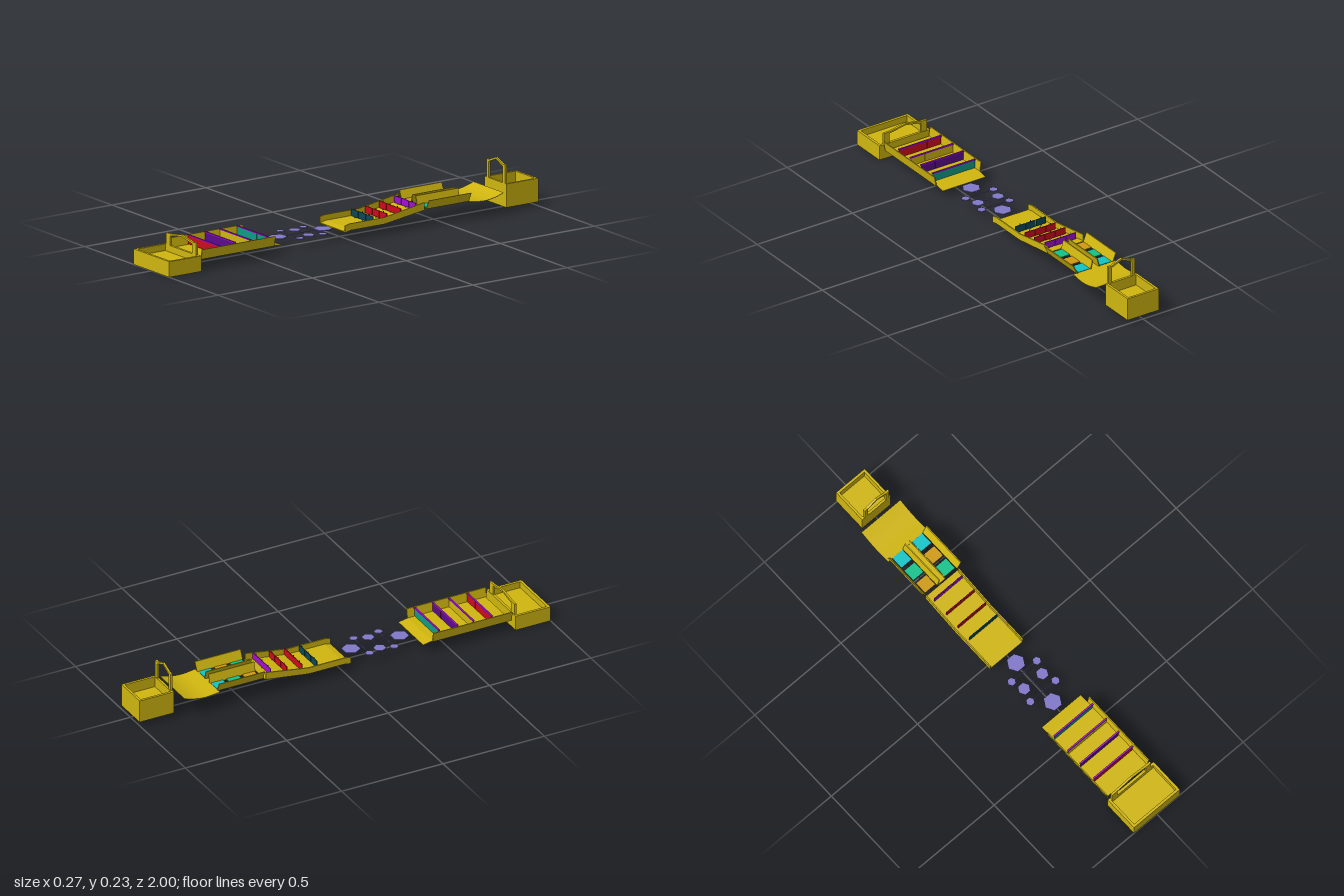
import * as THREE from 'three';

const mat = (color) => new THREE.MeshStandardMaterial({ color, flatShading: true, side: THREE.DoubleSide });
const yellow = mat(0xd0b60f), purple = mat(0x5a0a8c), violet = mat(0xa010d0), red = mat(0xcc0a1e);
const teal = mat(0x0f9c84), darkTeal = mat(0x0a4858), cyan = mat(0x10c4c8), green = mat(0x10c48c);
const orange = mat(0xd09a10), lilac = mat(0x8078c8), metal = mat(0x333333);

export function createModel() {
  const model = new THREE.Group();
  let parent = model;

  const section = (name) => {
    parent = new THREE.Group();
    parent.name = name;
    model.add(parent);
  };
  const add = (name, geometry, material = yellow) => {
    const mesh = new THREE.Mesh(geometry, material);
    mesh.name = name;
    parent.add(mesh);
    return mesh;
  };
  // Box given by its limits on each axis
  const box = (name, x0, x1, y0, y1, z0, z1, material) =>
    add(name, new THREE.BoxGeometry(x1 - x0, y1 - y0, z1 - z0), material)
      .position.set((x0 + x1) / 2, (y0 + y1) / 2, (z0 + z1) / 2);
  const shapeOf = (points) => new THREE.Shape(points.map(([a, b]) => new THREE.Vector2(a, b)));
  // Profile in (x, y), drawn out along z
  const alongZ = (name, points, z0, z1, material) => {
    const g = new THREE.ExtrudeGeometry(shapeOf(points), { depth: z1 - z0, bevelEnabled: false });
    add(name, g.translate(0, 0, z0), material);
  };
  // Profile in (z, y), drawn out along x
  const alongX = (name, points, x0, x1, material) => {
    const shape = shapeOf(points.map(([z, y]) => [-z, y]));
    const g = new THREE.ExtrudeGeometry(shape, { depth: x1 - x0, bevelEnabled: false });
    add(name, g.rotateY(Math.PI / 2).translate(x0, 0, 0), material);
  };
  // Thin bent plate following a path of (z, y) points
  const plate = (name, path, x0, x1, t = 0.002) =>
    alongX(name, [...path, ...path.map(([z, y]) => [z, y - t]).reverse()], x0, x1);
  // Wall whose top is shifted sideways from its foot
  const leaningWall = (name, foot, top, t, y0, y1, z0, z1) =>
    alongZ(name, [[foot, y0], [foot + t, y0], [top + t, y1], [top, y1]], z0, z1);
  // Box with a recessed top
  const tray = (name, x0, x1, y0, y1, z0, z1, depth, rim) => {
    box(name + 'Base', x0, x1, y0, y1 - depth, z0, z1);
    for (const [a, b] of [[x0, x0 + rim], [x1 - rim, x1]]) box(name + 'SideRim', a, b, y1 - depth, y1, z0, z1);
    for (const [a, b] of [[z0, z0 + rim], [z1 - rim, z1]]) box(name + 'EndRim', x0 + rim, x1 - rim, y1 - depth, y1, a, b);
  };
  // Pair of posts joined by a peaked beam
  const gate = (name, xs, y0, yTop, yPeak, t, z0, z1) => {
    const [a, b, c, d] = xs, mid = (a + d) / 2;
    alongZ(name, [
      [a, y0], [b, y0], [b, yTop - t], [mid, yPeak - t], [c, yTop - t],
      [c, y0], [d, y0], [d, yTop], [c, yTop + 0.001], [mid, yPeak], [b, yTop + 0.001], [a, yTop],
    ], z0, z1);
  };

  section('startPlatform');
  tray('startTray', -0.133, 0.133, 0, 0.07, 0.828, 1, 0.03, 0.012);
  gate('startGate', [-0.118, -0.087, 0.078, 0.108], 0.07, 0.122, 0.137, 0.008, 0.83, 0.84);

  // Flat lane crossed by rails carrying swinging panels
  section('panelLane');
  plate('laneFloor', [[0.81, 0.05], [0.425, 0.05], [0.38, 0.042]], -0.118, 0.108);
  leaningWall('laneWall', -0.122, -0.129, 0.005, 0.047, 0.092, 0.425, 0.815);
  leaningWall('laneWall', 0.107, 0.115, 0.005, 0.047, 0.092, 0.425, 0.815);
  const lanePanels = [[0.46, teal, teal], [0.55, yellow, purple], [0.63, purple, yellow], [0.72, red, red]];
  for (const [z, front, back] of lanePanels) {
    box('rail', -0.118, 0.108, 0.09, 0.095, z - 0.004, z + 0.004, violet);
    for (let i = 0; i < 3; i++) {
      const x = -0.116 + i * 0.074;
      box('panelFront', x, x + 0.073, 0.053, 0.09, z, z + 0.002, front);
      box('panelBack', x, x + 0.073, 0.053, 0.09, z - 0.002, z, back);
    }
  }

  // Hexagonal stepping discs joined by thin rods
  section('steppingDiscs');
  const discs = [
    [-0.005, 0.085, 0.042], [-0.005, 0.325, 0.042], [-0.058, 0.198, 0.029], [0.047, 0.198, 0.029],
    [-0.077, 0.138, 0.02], [0.069, 0.138, 0.02], [-0.077, 0.26, 0.02], [0.069, 0.26, 0.02],
  ];
  for (const [x, z, r] of discs)
    add('disc', new THREE.CylinderGeometry(r, r, 0.004, 6).rotateY(Math.PI / 2).translate(x, 0.047, z), lilac);
  box('longRod', -0.0065, -0.0035, 0.046, 0.048, 0.085, 0.325, lilac);
  for (const [z, w] of [[0.138, 0.073], [0.198, 0.053], [0.26, 0.073]])
    box('crossRod', -0.005 - w, -0.005 + w, 0.046, 0.048, z - 0.0015, z + 0.0015, lilac);

  // Rising ramp with rows of panels on pins
  section('panelRamp');
  plate('rampFloor', [[0.03, 0.044], [0, 0.05], [-0.18, 0.05], [-0.395, 0.08]], -0.106, 0.085, 0.004);
  const wall = [[0.03, 0.04], [0, 0.046], [-0.18, 0.046], [-0.39, 0.076], [-0.39, 0.11], [-0.18, 0.076], [0.005, 0.076], [0.03, 0.07]];
  alongX('rampWall', wall, -0.108, -0.102);
  alongX('rampWall', wall, 0.08, 0.086);
  for (const [z, material] of [[-0.127, darkTeal], [-0.2, red], [-0.275, red], [-0.355, violet]]) {
    const y = 0.05 + Math.max(0, -0.18 - z) * 0.14;
    for (let i = 0; i < 3; i++) {
      const x = -0.088 + i * 0.055;
      box('rampPanel', x, x + 0.052, y + 0.004, y + 0.035, z - 0.002, z + 0.002, material);
      add('pin', new THREE.CylinderGeometry(0.002, 0.002, 0.048, 6).translate(x + 0.026, y + 0.017, z), metal);
    }
  }

  // Two open troughs of tilting tiles
  section('tileTroughs');
  const z0 = -0.625, z1 = -0.4;
  leaningWall('outerWall', -0.101, -0.118, 0.005, 0.08, 0.122, z0, z1);
  leaningWall('outerWall', 0.084, 0.104, 0.005, 0.08, 0.122, z0, z1);
  leaningWall('middleWall', -0.031, -0.02, 0.005, 0.08, 0.122, z0, z1);
  leaningWall('middleWall', 0.015, 0.004, 0.005, 0.08, 0.122, z0, z1);
  box('middleFloor', -0.031, 0.02, 0.078, 0.081, z0, z1);
  const lanes = [[-0.064, [cyan, green, orange]], [0.05, [cyan, orange, green]]];
  for (const [x, colors] of lanes) {
    box('axle', x - 0.0015, x + 0.0015, 0.081, 0.084, z0, z1, metal);
    colors.forEach((material, i) => {
      const z = -0.592 + i * 0.077;
      box('tile', x - 0.03, x + 0.03, 0.08, 0.085, z - 0.03, z + 0.03, material);
    });
  }

  // Curved sheet leading up to the finish
  section('curvedExit');
  const curve = new THREE.SplineCurve([[-0.622, 0.083], [-0.69, 0.076], [-0.745, 0.082], [-0.797, 0.097]]
    .map(([z, y]) => new THREE.Vector2(z, y)));
  plate('curvedSheet', curve.getPoints(14).map((p) => [p.x, p.y]), -0.118, 0.108);

  section('finishPlatform');
  tray('finishTray', -0.084, 0.081, 0.018, 0.124, -1, -0.83, 0.05, 0.011);
  gate('finishGate', [-0.069, -0.051, 0.053, 0.072], 0.074, 0.206, 0.228, 0.009, -0.84, -0.83);

  return model;
}
